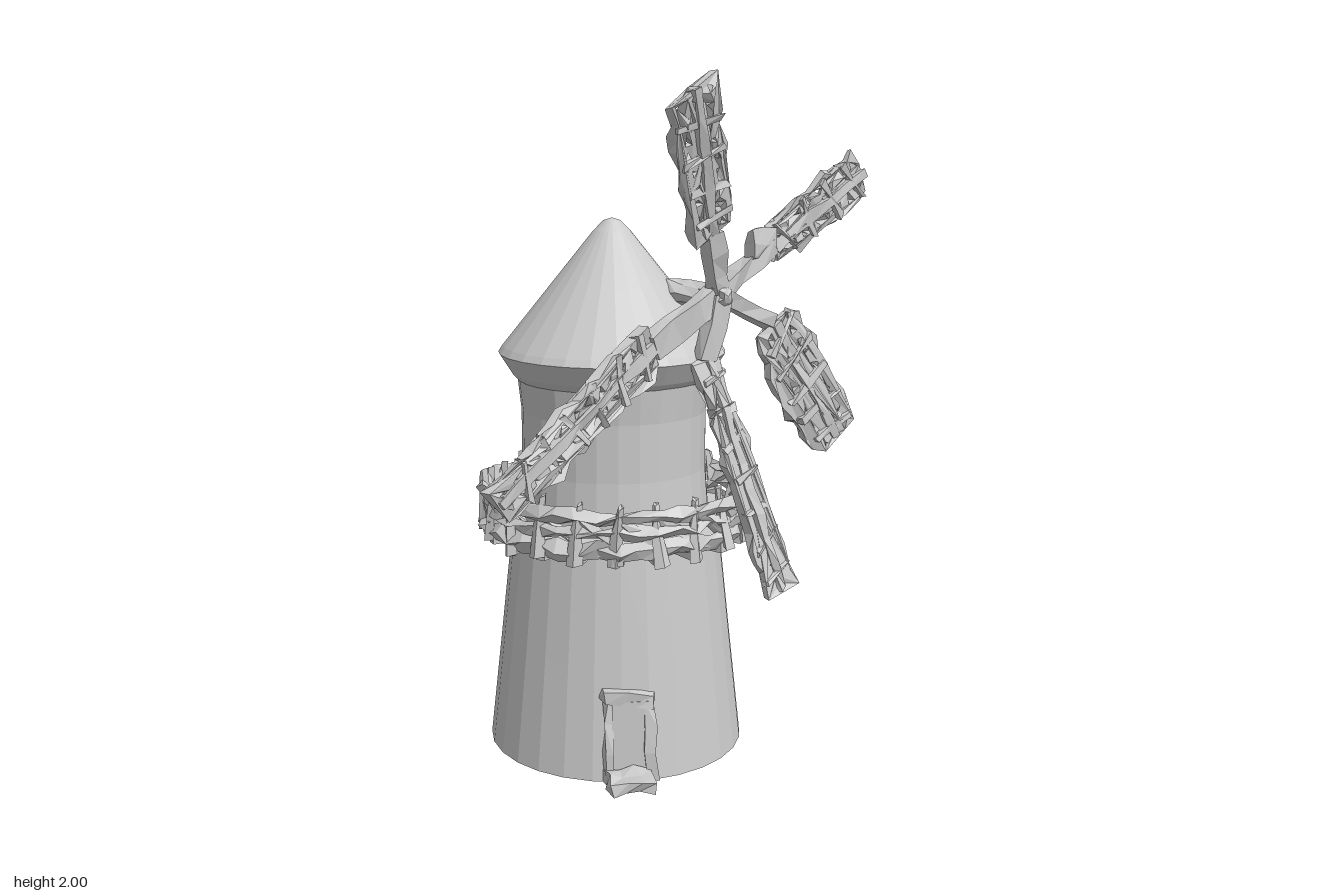
import * as THREE from 'three';

const grey = new THREE.MeshStandardMaterial({ color: 0xcccccc, flatShading: true, side: THREE.DoubleSide });
const V = (x, y, z) => new THREE.Vector3(x, y, z);

// Repeatable noise from a position, so shared corners move together
function noise(x, y, z, k) {
  const s = Math.sin(Math.round(x * 500) * 12.99 + Math.round(y * 500) * 78.23 + Math.round(z * 500) * 37.72 + k * 4.1) * 43758.5;
  return (s - Math.floor(s)) * 2 - 1;
}

function roughen(geo, amount) {
  const p = geo.attributes.position;
  for (let i = 0; i < p.count; i++) {
    const x = p.getX(i), y = p.getY(i), z = p.getZ(i);
    p.setXYZ(i, x + amount * noise(x, y, z, 1), y + amount * noise(x, y, z, 2), z + amount * noise(x, y, z, 3));
  }
  geo.computeVertexNormals();
  return geo;
}

function add(parent, name, geo) {
  const mesh = new THREE.Mesh(geo, grey);
  mesh.name = name;
  parent.add(mesh);
  return mesh;
}

function group(parent, name, x, y, z) {
  const g = new THREE.Group();
  g.name = name;
  g.position.set(x, y, z);
  parent.add(g);
  return g;
}

// Matrix whose x axis runs from a to b and whose z axis faces forward
function along(a, b) {
  const u = b.clone().sub(a).normalize();
  const v = V(0, 0, 1).cross(u).normalize();
  const w = u.clone().cross(v);
  return new THREE.Matrix4().makeBasis(u, v, w).setPosition(a);
}

function beam(parent, name, a, b, width, depth) {
  const len = a.distanceTo(b);
  const geo = new THREE.BoxGeometry(len, width, depth, Math.max(1, Math.round(len / 0.08)), 1, 1);
  geo.translate(len / 2, 0, 0);
  add(parent, name, roughen(geo.applyMatrix4(along(a, b)), 0.008));
}

// Ragged sail board pierced by triangular holes; taper narrows both ends
function sail(parent, a, b, w0, w1, rows, taper) {
  const len = a.distanceTo(b), steps = Math.round(len / 0.05), m = along(a, b);
  const half = t => (w0 + (w1 - w0) * t) / 2 * (1 - taper * Math.pow(Math.abs(2 * t - 1), 4));
  const edge = [];
  for (let i = 0; i <= steps; i++) edge.push([i / steps, 1]);
  for (let i = steps; i >= 0; i--) edge.push([i / steps, -1]);
  const shape = new THREE.Shape(edge.map(([t, s], i) => new THREE.Vector2(
    t * len + 0.014 * noise(i, s, len, 4), s * (half(t) + 0.012 * noise(i, s, len, 5)))));
  for (let i = 0; i < steps; i++) {
    for (let j = 0; j < rows; j++) {
      const t = (i + 0.5) / steps, cy = ((j + 0.5) / rows * 2 - 1) * half(t) * 0.8;
      const r = 0.014 + 0.005 * noise(i, j, len, 6), turn = noise(i, j, len, 7) * 3;
      const hole = new THREE.Path();
      hole.setFromPoints([0, 1, 2].map(k => new THREE.Vector2(
        t * len + r * Math.cos(turn + k * 2.1), cy + r * Math.sin(turn + k * 2.1))));
      shape.holes.push(hole);
    }
  }
  const geo = new THREE.ExtrudeGeometry(shape, { depth: 0.024, bevelEnabled: false });
  geo.translate(0, 0, -0.012);
  add(parent, 'sailBoard', roughen(geo, 0.01).applyMatrix4(m));
  // Slanting cross battens
  for (let i = 1; i < steps; i += 2) {
    const t = i / steps, h = half(t) * 0.9, skew = 0.025 * noise(i, len, 0, 8);
    beam(parent, 'sailBatten', V(t * len - skew, -h, 0.006).applyMatrix4(m), V(t * len + skew, h, 0.006).applyMatrix4(m), 0.016, 0.03);
  }
}

function ring(parent, name, radius, y, tube, squash) {
  const geo = new THREE.TorusGeometry(radius, tube, 4, 44);
  geo.rotateX(Math.PI / 2).scale(1, squash, 1);
  add(parent, name, roughen(geo, 0.012)).position.y = y;
}

function lathe(points, segments) {
  return new THREE.LatheGeometry(points.map(([r, y]) => new THREE.Vector2(r, y)), segments);
}

export function createModel() {
  const model = new THREE.Group();
  model.name = 'windmill';

  // Tower walls, open below
  const tower = group(model, 'tower', 0.003, 0, -0.055);
  add(tower, 'lowerTower', lathe([[0.387, 0], [0.35, 0.33], [0.312, 0.68]], 28));
  add(tower, 'upperTower', lathe([[0.29, 0.68], [0.277, 0.85], [0.277, 1.02], [0.288, 1.12]], 28)).position.set(0.006, 0, -0.015);

  // Partial floor across the left side of the base
  const floor = new THREE.Shape();
  floor.absarc(0, 0, 0.382, -1.1, 1.42, false);
  add(tower, 'baseFloor', new THREE.ShapeGeometry(floor, 20).rotateX(-Math.PI / 2)).position.y = 0.004;

  // Conical roof with a sloping soffit
  const roof = group(model, 'roof', 0.002, 0, -0.07);
  add(roof, 'roofSoffit', lathe([[0.282, 1.115], [0.3, 1.135], [0.338, 1.195]], 28));
  add(roof, 'roofCone', lathe([[0.338, 1.195], [0.325, 1.215], [0.18, 1.395], [0.055, 1.55], [0.025, 1.58], [0, 1.588]], 28));

  // Balcony deck, railing and joists
  const balcony = group(model, 'balcony', 0.008, 0, -0.055);
  add(balcony, 'deck', lathe([[0.29, 0.675], [0.395, 0.675], [0.395, 0.7], [0.27, 0.7]], 40));
  ring(balcony, 'deckRim', 0.395, 0.69, 0.02, 1.3);
  ring(balcony, 'middleRail', 0.4, 0.742, 0.014, 1.2);
  ring(balcony, 'topRail', 0.402, 0.787, 0.019, 1.1);
  const posts = 22;
  for (let i = 0; i < posts; i++) {
    const a = i / posts * Math.PI * 2;
    const at = (r, y, da) => V(r * Math.cos(a + da), y, r * Math.sin(a + da));
    const post = add(balcony, 'railPost', roughen(new THREE.CylinderGeometry(0.01, 0.02, 0.175, 4, 2), 0.008));
    post.position.copy(at(0.403, 0.745 + 0.012 * noise(i, 2, 1, 3), 0));
    post.rotation.set(0.15 * noise(i, 1, 1, 1), -a, 0.12 * noise(i, 1, 1, 2));
    const joist = add(balcony, 'joist', new THREE.BoxGeometry(0.11, 0.03, 0.03));
    joist.position.copy(at(0.35, 0.665, 0));
    joist.rotation.y = -a;
    beam(balcony, 'railBrace', at(0.4, 0.71, 0), at(0.4, 0.785, Math.PI * 2 / posts), 0.02, 0.014);
  }

  // Rough doorway with a step, turned to follow the wall
  const door = group(model, 'doorway', -0.205, 0, 0.245);
  door.rotation.y = -0.56;
  beam(door, 'doorPost', V(-0.065, 0, 0.01), V(-0.055, 0.26, -0.015), 0.03, 0.05);
  beam(door, 'doorPost', V(0.06, 0, 0.01), V(0.05, 0.24, -0.015), 0.03, 0.05);
  beam(door, 'doorLintel', V(-0.08, 0.255, -0.01), V(0.07, 0.24, -0.01), 0.035, 0.05);
  add(door, 'doorPanel', new THREE.BoxGeometry(0.11, 0.24, 0.02)).position.set(0, 0.12, 0.005);
  add(door, 'doorStep', roughen(new THREE.BoxGeometry(0.13, 0.035, 0.1, 3, 1, 2), 0.008)).position.set(-0.01, 0.026, 0.075);

  // Axle and hub
  const rotor = group(model, 'rotor', 0, 0, 0);
  const hub = V(0.115, 1.38, 0.262);
  const axle = add(rotor, 'axle', roughen(new THREE.CylinderGeometry(0.035, 0.04, 0.2, 7, 3).rotateX(Math.PI / 2), 0.009));
  axle.position.set(0.105, 1.37, 0.17);
  add(rotor, 'hub', roughen(new THREE.IcosahedronGeometry(0.042, 1), 0.008)).position.copy(hub);

  // Five sails: ends of the board, widths, rows of holes, end taper, spar width
  const sails = [
    { from: V(0.035, 1.56, 0.305), to: V(-0.17, 1.945, 0.44), w0: 0.15, w1: 0.2, rows: 3, taper: 0, spar: 0.05 },
    { from: V(0.33, 1.51, 0.26), to: V(0.7, 1.71, 0.275), w0: 0.13, w1: 0.16, rows: 3, taper: 0.15, spar: 0.045 },
    { from: V(0.325, 1.285, 0.27), to: V(0.61, 0.9, 0.285), w0: 0.2, w1: 0.22, rows: 3, taper: 0.35, spar: 0.045 },
    { from: V(0.06, 1.2, 0.265), to: V(0.2, 0.535, 0.44), w0: 0.095, w1: 0.11, rows: 1, taper: 0, spar: 0.06 },
    { from: V(-0.13, 1.255, 0.245), to: V(-0.7, 0.91, 0.295), w0: 0.15, w1: 0.115, rows: 2, taper: 0.1, spar: 0.07 }
  ];
  for (const { from, to, w0, w1, rows, taper, spar } of sails) {
    const arm = group(rotor, 'sailArm', 0, 0, 0);
    beam(arm, 'spar', hub, from, spar, 0.05);
    beam(arm, 'spar', from, to, 0.03, 0.04);
    sail(arm, from, to, w0, w1, rows, taper);
  }
  // Torn root of the upper right sail
  add(rotor, 'sailRoot', roughen(new THREE.BoxGeometry(0.09, 0.09, 0.03, 2, 2, 1), 0.01)).position.set(0.28, 1.515, 0.265);

  return model;
}
